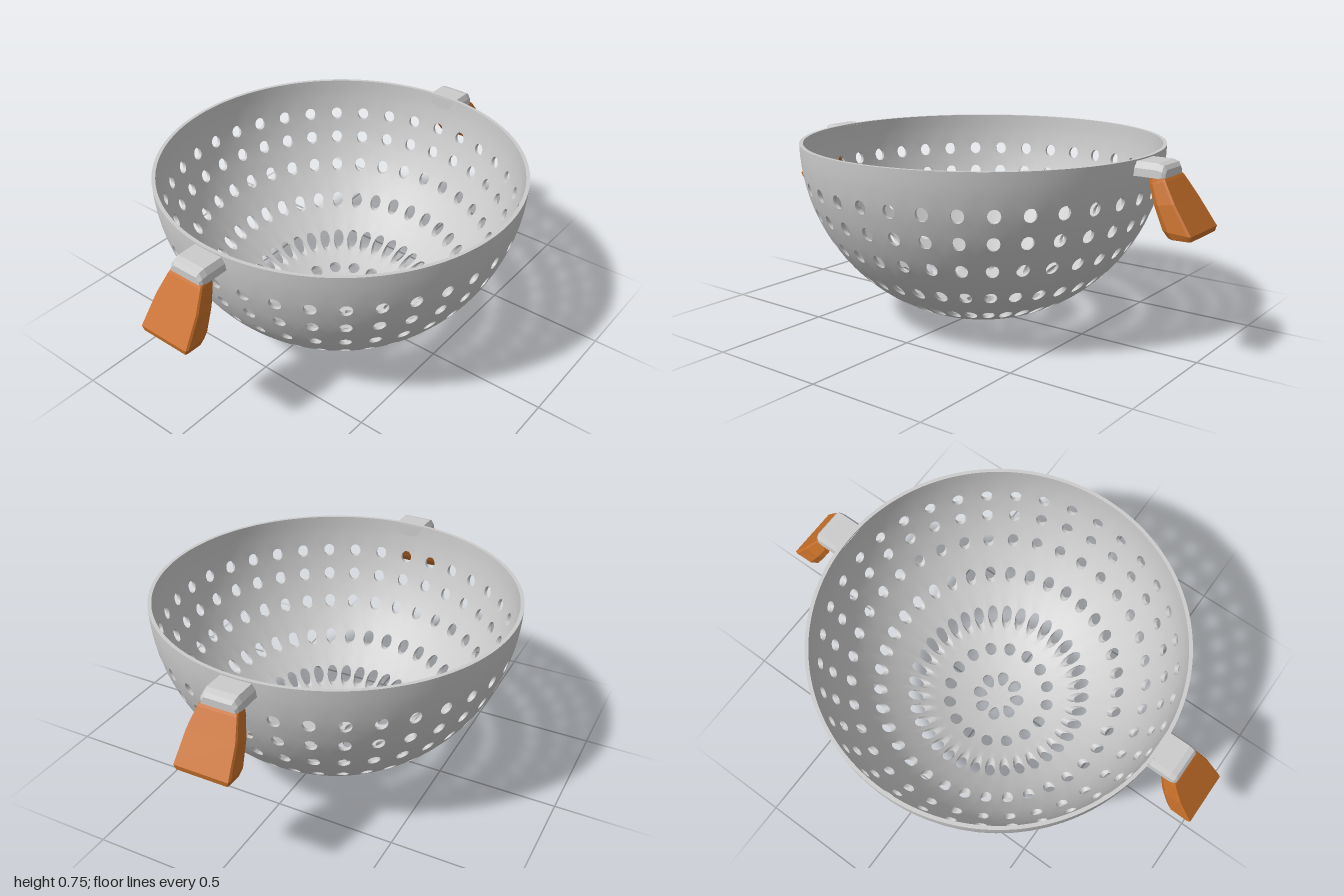
import * as THREE from 'three';
import { toCreasedNormals } from 'three/addons/utils/BufferGeometryUtils.js';

const R_OUT = 0.753, R_IN = 0.738, CY = 0.756; // bowl shell radii and centre height
const DEG = Math.PI / 180;

// point on a sphere: theta around y from the front, phi up from the bottom pole
const onSphere = (R, theta, phi) => [
  R * Math.sin(phi) * Math.sin(theta), CY - R * Math.cos(phi), R * Math.sin(phi) * Math.cos(theta)];

// collects quads into one geometry with smooth surfaces and sharp edges
function quadBuilder() {
  const pos = [];
  return {
    quad: (a, b, c, d) => pos.push(...a, ...b, ...c, ...a, ...c, ...d),
    build() {
      const g = new THREE.BufferGeometry();
      g.setAttribute('position', new THREE.Float32BufferAttribute(pos, 3));
      return toCreasedNormals(g, 0.5);
    },
  };
}

// bands of holes: phi limits, hole count, turn, hole half sizes.
// y: drilled sideways at this height; r: drilled straight down at this radius
const BANDS = [
  { from: 0, to: 12, n: 8, turn: 22.5, r: 0.085, w: 0.024, h: 0.032 },
  { from: 12, to: 22.3, n: 16, turn: 0, r: 0.225, w: 0.026, h: 0.027 },
  { from: 22.3, to: 38.5, n: 36, turn: 0, y: 0.113, w: 0.025, h: 0.027 },
  { from: 38.5, to: 52.5, n: 36, turn: 0, y: 0.234, w: 0.025, h: 0.027 },
  { from: 52.5, to: 64, n: 36, turn: 0, y: 0.369, w: 0.025, h: 0.027 },
  { from: 64, to: 73.2, n: 36, turn: 0, y: 0.487, w: 0.025, h: 0.027 },
  { from: 73.2, to: 83, n: 36, turn: 0, y: 0.595, w: 0.025, h: 0.027 },
];
const AROUND = 288; // edge divisions shared by all bands

// outline of a square from -1 to 1, counter-clockwise
function squareOutline(k, s) {
  const pts = [];
  for (let i = 0; i < k; i++) pts.push([-1 + 2 * i / k, -1]);
  for (let i = 0; i < s; i++) pts.push([1, -1 + 2 * i / s]);
  for (let i = 0; i < k; i++) pts.push([1 - 2 * i / k, 1]);
  for (let i = 0; i < s; i++) pts.push([-1, 1 - 2 * i / s]);
  return pts;
}

function bowlGeometry() {
  const { quad, build } = quadBuilder();
  for (const b of BANDS) {
    const outline = squareOutline(AROUND / b.n, 4);
    const mid = (b.from + b.to) / 2 * DEG, half = (b.to - b.from) / 2 * DEG;
    const reach = b.r ?? Math.sqrt(R_OUT ** 2 - (CY - b.y) ** 2);
    for (let c = 0; c < b.n; c++) {
      const tc = c * 2 * Math.PI / b.n + b.turn * DEG;
      const edge = (R) => outline.map(([p, q]) => onSphere(R, tc + p * Math.PI / b.n, mid + q * half));
      const hole = (R) => outline.map(([p, q]) => {
        const a = Math.atan2(q, p), up = b.h * Math.sin(a);
        const phi = b.r ? Math.asin((b.r + up) / R) : Math.acos((CY - b.y - up) / R);
        return onSphere(R, tc + b.w * Math.cos(a) / reach, phi);
      });
      const eo = edge(R_OUT), ho = hole(R_OUT), ei = edge(R_IN), hi = hole(R_IN);
      for (let i = 0; i < outline.length; i++) {
        const j = (i + 1) % outline.length;
        quad(eo[i], eo[j], ho[j], ho[i]); // outside
        quad(ei[j], ei[i], hi[i], hi[j]); // inside
        quad(ho[i], ho[j], hi[j], hi[i]); // hole wall
      }
    }
  }
  // plain band under the rim, then the flat rim
  const lo = 83 * DEG, top = Math.PI / 2, mid = (lo + top) / 2;
  for (let i = 0; i < AROUND; i++) {
    const a = i * 2 * Math.PI / AROUND, c = (i + 1) * 2 * Math.PI / AROUND;
    for (const [p, q] of [[lo, mid], [mid, top]]) {
      quad(onSphere(R_OUT, a, p), onSphere(R_OUT, c, p), onSphere(R_OUT, c, q), onSphere(R_OUT, a, q));
      quad(onSphere(R_IN, c, p), onSphere(R_IN, a, p), onSphere(R_IN, a, q), onSphere(R_IN, c, q));
    }
    quad(onSphere(R_OUT, a, top), onSphere(R_OUT, c, top), onSphere(R_IN, c, top), onSphere(R_IN, a, top));
  }
  return build();
}

// skin over a row of closed cross-sections, capped at both ends
function loft(rings) {
  const pos = [], n = rings[0].length;
  const tri = (a, b, c) => pos.push(...a, ...b, ...c);
  for (let k = 0; k + 1 < rings.length; k++) {
    for (let i = 0; i < n; i++) {
      const j = (i + 1) % n, A = rings[k], B = rings[k + 1];
      tri(A[i], A[j], B[j]);
      tri(A[i], B[j], B[i]);
    }
  }
  const first = rings[0], last = rings[rings.length - 1];
  for (let i = 1; i + 1 < n; i++) {
    tri(first[0], first[i + 1], first[i]);
    tri(last[0], last[i], last[i + 1]);
  }
  const g = new THREE.BufferGeometry();
  g.setAttribute('position', new THREE.Float32BufferAttribute(pos, 3));
  g.computeVertexNormals();
  return g;
}

// bracket sections along z: z, half width, bottom, top
const BRACKET = [
  [0.735, 0.08, 0.697, 0.75],
  [0.835, 0.08, 0.697, 0.75],
  [0.858, 0.078, 0.694, 0.743],
  [0.869, 0.07, 0.694, 0.728],
];
const bracketRing = ([z, w, b, t]) => [
  [-w, b, z], [w, b, z], [w * 0.97, b + (t - b) * 0.55, z], [w * 0.8, t, z],
  [-w * 0.8, t, z], [-w * 0.97, b + (t - b) * 0.55, z]];

// grip sections going down: outer z and y, inner z and y, half width
const GRIP = [
  [0.868, 0.70, 0.808, 0.70, 0.078],
  [0.876, 0.69, 0.808, 0.672, 0.083],
  [0.925, 0.617, 0.84, 0.60, 0.104],
  [0.999, 0.51, 0.882, 0.517, 0.116],
  [0.996, 0.49, 0.903, 0.488, 0.108],
];
function gripRing([zo, yo, zi, yi, w]) {
  const at = (x, f) => [x, yi + (yo - yi) * f, zi + (zo - zi) * f];
  return [at(-w * 0.86, 0), at(w * 0.86, 0), at(w, 0.25), at(w, 0.9), at(w * 0.96, 1),
    at(-w * 0.96, 1), at(-w, 0.9), at(-w, 0.25)];
}

export function createModel() {
  const metal = new THREE.MeshStandardMaterial({ color: 0xcccccc });
  const metalFlat = new THREE.MeshStandardMaterial({ color: 0xcccccc, flatShading: true });
  const wood = new THREE.MeshStandardMaterial({ color: 0xc8702a, flatShading: true });
  const model = new THREE.Group();
  model.name = 'colander';

  const add = (parent, name, geometry, material) => {
    const mesh = new THREE.Mesh(geometry, material);
    mesh.name = name;
    parent.add(mesh);
  };
  add(model, 'bowl', bowlGeometry(), metal);

  // one handle at the front, one at the back
  const bracket = loft(BRACKET.map(bracketRing)), grip = loft(GRIP.map(gripRing));
  for (const [name, turn] of [['frontHandle', 0], ['backHandle', Math.PI]]) {
    const handle = new THREE.Group();
    handle.name = name;
    handle.rotation.y = turn;
    add(handle, 'bracket', bracket, metalFlat);
    add(handle, 'grip', grip, wood);
    model.add(handle);
  }
  return model;
}
